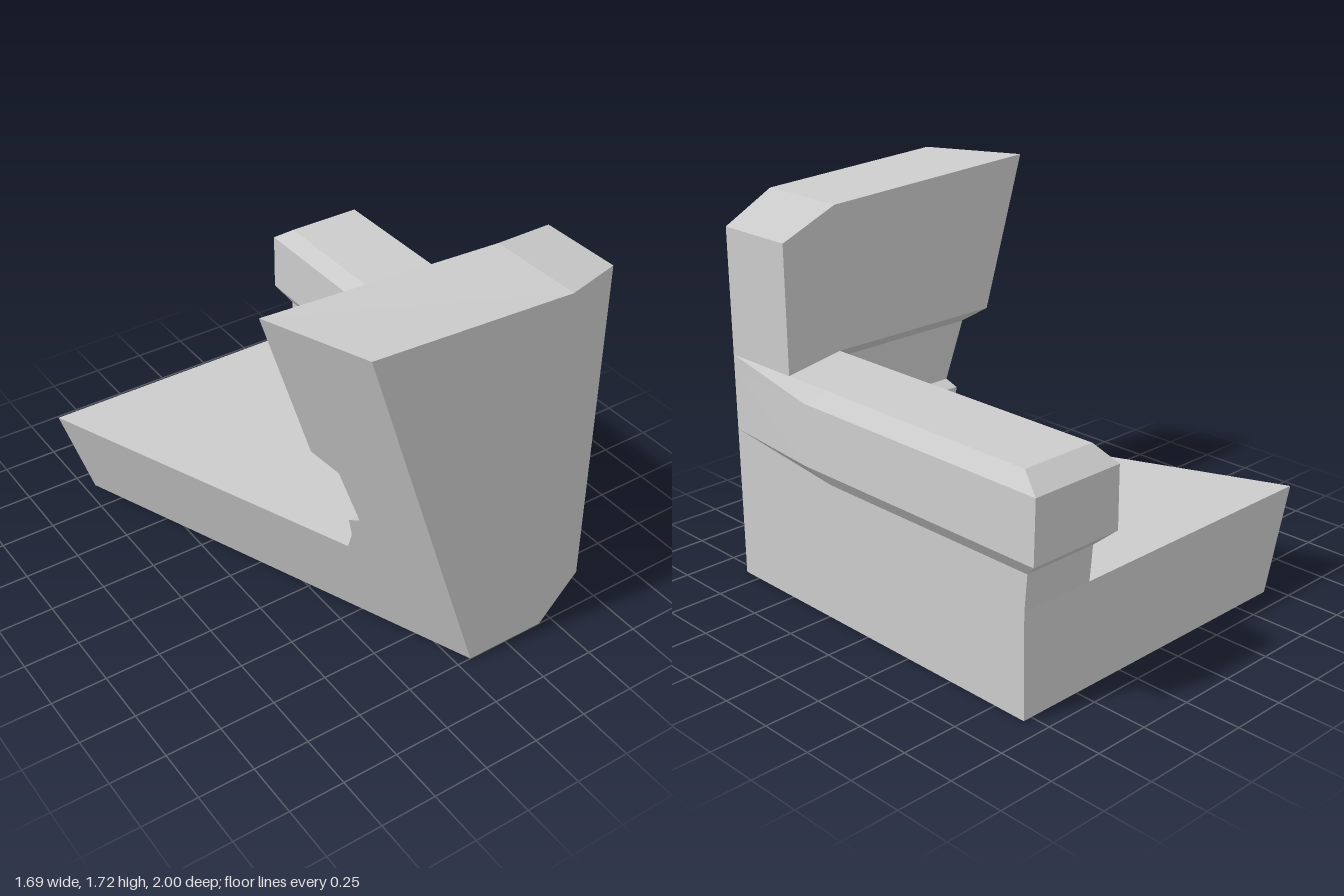
import * as THREE from 'three';

const material = new THREE.MeshStandardMaterial({ color: 0xcccccc, flatShading: true });

// Slanted plane that slices off the sofa's open end
const cutX = (y, z) => -0.337 - 0.316 * y + 0.402 * z;

// Joins rings of [x, y, z] points (counterclockwise about the travel direction) and caps both ends.
// "flat" projects an end ring to 2D for the cap.
function loft(name, rings, flat) {
  const positions = [];
  const add = (a, b, c, toward) => {
    const [p, q, r] = [a, b, c].map(v => new THREE.Vector3(...v));
    const n = q.clone().sub(p).cross(r.clone().sub(p));
    if (n.length() < 1e-7) return;
    if (toward && n.dot(toward) < 0) positions.push(...a, ...c, ...b);
    else positions.push(...a, ...b, ...c);
  };
  for (let k = 0; k < rings.length - 1; k++) {
    const A = rings[k], B = rings[k + 1];
    A.forEach((_, i) => {
      const j = (i + 1) % A.length;
      add(A[i], A[j], B[j]);
      add(A[i], B[j], B[i]);
    });
  }
  const cap = (ring, toward) => {
    const outline = ring.map(p => new THREE.Vector2(...flat(p)));
    for (const [a, b, c] of THREE.ShapeUtils.triangulateShape(outline, []))
      add(ring[a], ring[b], ring[c], toward);
  };
  const along = flat([0, 0, 1])[0] ? new THREE.Vector3(1, 0, 0) : new THREE.Vector3(0, 0, 1);
  cap(rings[0], along.clone().negate());
  cap(rings[rings.length - 1], along);

  const geometry = new THREE.BufferGeometry();
  geometry.setAttribute('position', new THREE.Float32BufferAttribute(positions, 3));
  geometry.computeVertexNormals();
  const mesh = new THREE.Mesh(geometry, material);
  mesh.name = name;
  return mesh;
}

// Seat and backrest: [y, z] profiles carried from the cut end to the outer side
function seatAndBack() {
  const profile = (topFront, topBack) => [
    [0, -0.905], [0.46, -0.905], [0.46, 0.56], [0.56, 0.605], [0.66, 0.62], [0.69, 0.675],
    [0.96, 0.66], [1.03, 0.56], [topFront, 0.56], [topBack, 1], [0, 1]];
  const at = (x, points) => points.map(([y, z]) => [x, y, z]);

  const cutEnd = profile(1.72, 1.715).map(([y, z]) => [cutX(y, z), y, z]);
  const inner = profile(1.67, 1.67);
  // The seat steps up to the wall under the armrest
  const raised = inner.map(p => [...p]);
  raised[2] = [0.62, -0.92];
  raised[3] = [0.62, 0.61];
  // Chamfered outer side
  const outer = raised.map(p => [...p]);
  outer[7] = [1.03, 0.455];
  outer[8] = [1.59, 0.455];
  outer[9] = [1.59, 0.84];
  outer[10] = [0, 0.84];
  return loft('seatAndBackrest',
    [cutEnd, at(0.438, inner), at(0.438, raised), at(0.79, outer)], p => [p[2], p[1]]);
}

// Armrest: bevelled section running front to back
function armrest() {
  const section = [[0.79, 0.62], [0.84, 0.69], [0.832, 0.96], [0.79, 1.03],
    [0.438, 1.03], [0.39, 0.96], [0.39, 0.69], [0.438, 0.62]];
  const frontZ = [-0.92, -1, -1, -0.905, -0.905, -1, -1, -0.92];
  const middleZ = [0.2, 0.31, 0.31, 0.2, 0.2, 0.31, 0.31, 0.2];
  const front = section.map(([x, y], i) => [x, y, frontZ[i]]);
  const face = [1, 1, 2, 2, 5, 5, 6, 6].map(i => front[i]);
  const middle = section.map(([x, y], i) => [x, y, middleZ[i]]);
  // The outer bulge fades into the side at the back
  const rear = section.map(([x, y]) => [Math.min(x, 0.79), y, 0.84]);
  return loft('leftArmrest', [face, front, middle, rear], p => [p[0], p[1]]);
}

export function createModel() {
  const group = new THREE.Group();
  group.name = 'sofaSection';
  group.add(seatAndBack(), armrest());
  return group;
}
